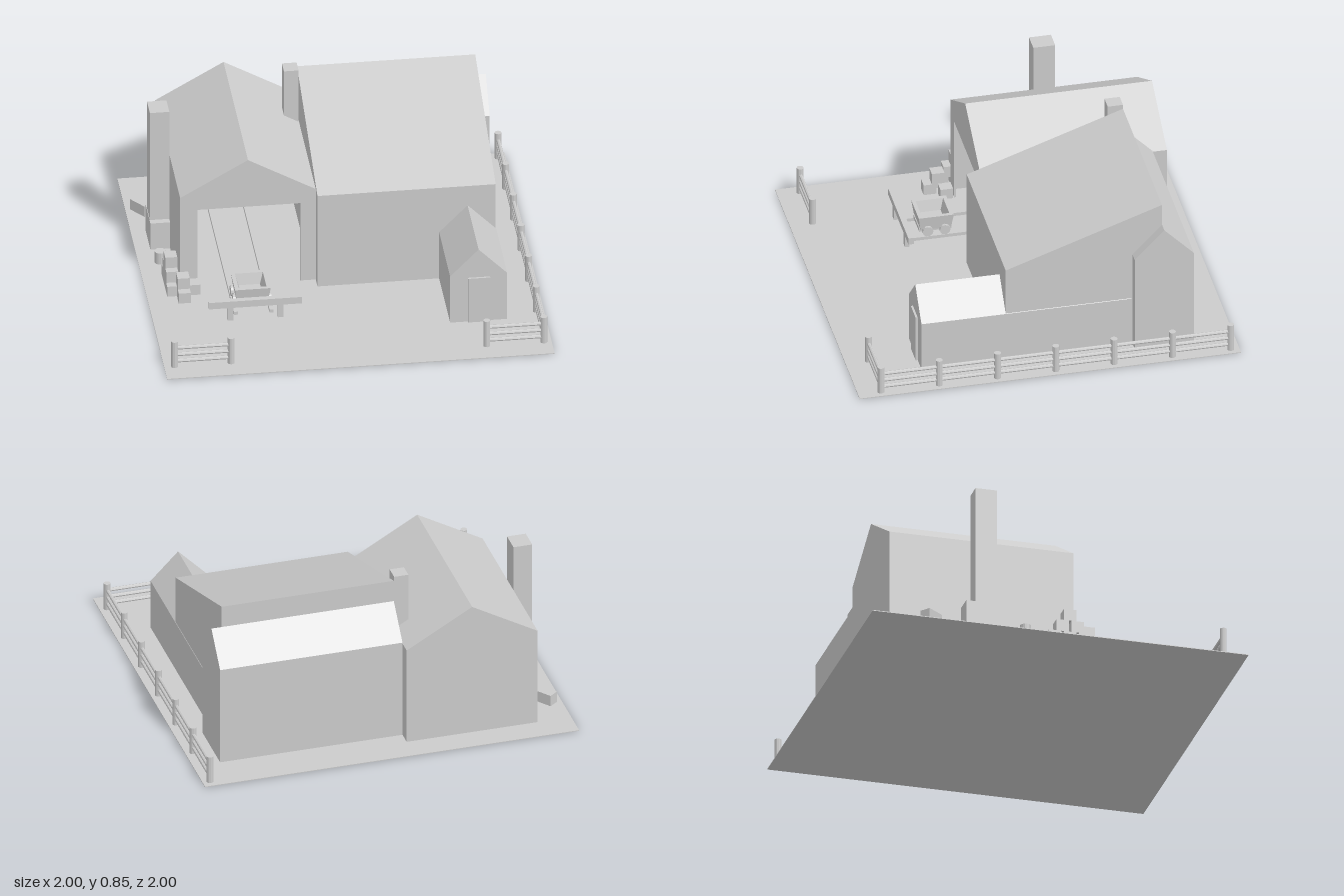
import * as THREE from 'three';

const grey = new THREE.MeshStandardMaterial({ color: 0xcccccc, flatShading: true, side: THREE.DoubleSide });

export function createModel() {
  const model = new THREE.Group();

  const add = (name, geometry, parent = model) => {
    const mesh = new THREE.Mesh(geometry, grey);
    mesh.name = name;
    parent.add(mesh);
    return mesh;
  };
  const group = (name) => {
    const g = new THREE.Group();
    g.name = name;
    model.add(g);
    return g;
  };
  // Box given by its limits on each axis
  const box = (name, x0, x1, y0, y1, z0, z1, parent) => {
    const g = new THREE.BoxGeometry(x1 - x0, y1 - y0, z1 - z0);
    g.translate((x0 + x1) / 2, (y0 + y1) / 2, (z0 + z1) / 2);
    return add(name, g, parent);
  };
  const outline = (points) => new THREE.Shape(points.map(([a, b]) => new THREE.Vector2(a, b)));
  // Outline in x, y pushed along z
  const alongZ = (name, shape, z0, z1, parent) => {
    const g = new THREE.ExtrudeGeometry(shape, { depth: z1 - z0, bevelEnabled: false });
    return add(name, g.translate(0, 0, z0), parent);
  };
  // Outline in z, y pushed along x
  const alongX = (name, points, x0, x1, parent) => {
    const shape = outline(points.map(([z, y]) => [-z, y]));
    const g = new THREE.ExtrudeGeometry(shape, { depth: x1 - x0, bevelEnabled: false });
    return add(name, g.rotateY(Math.PI / 2).translate(x0, 0, 0), parent);
  };
  const gable = (a, b, eave, ridge) => [[a, 0], [b, 0], [b, eave], [(a + b) / 2, ridge], [a, eave]];

  box('ground', -1, 1, 0, 0.004, -1, 1);

  // Hollow barn with a wide open doorway
  const barn = group('barn');
  const shell = outline(gable(-0.82, -0.12, 0.545, 0.745));
  shell.holes.push(outline(gable(-0.805, -0.135, 0.535, 0.73).map(([x, y]) => [x, Math.max(y, 0.004)])));
  alongZ('barnWallsAndRoof', shell, -0.86, 0.12, barn);
  alongZ('barnBackWall', outline(gable(-0.82, -0.12, 0.545, 0.745)), -0.86, -0.85, barn);
  alongZ('barnFrontWall', outline([
    [-0.82, 0], [-0.73, 0], [-0.73, 0.467], [-0.2, 0.467], [-0.2, 0],
    [-0.12, 0], [-0.12, 0.545], [-0.47, 0.745], [-0.82, 0.545],
  ]), 0.11, 0.12, barn);

  // Main hall with a single slope, rear wing and entrance wing
  alongX('mainHall', [[0.19, 0], [0.19, 0.545], [-0.63, 0.83], [-0.63, 0]], -0.12, 0.8);
  alongX('rearWing', gable(-0.785, -0.475, 0.55, 0.71), -0.12, 0.855);
  alongZ('entranceWing', outline(gable(0.508, 0.802, 0.28, 0.43)), -0.47, 0.632);
  box('entranceDoor', 0.6, 0.714, 0, 0.265, 0.63, 0.643);

  // Chimneys
  box('tallChimney', -0.92, -0.82, 0, 0.8, -0.43, -0.315);
  box('chimneyBase', -0.922, -0.82, 0, 0.16, -0.48, -0.28);
  box('smallChimney', -0.198, -0.122, 0.4, 0.853, -0.63, -0.55);

  // Fences: round posts joined by three rails
  const fence = (name, x0, z0, x1, z1, count) => {
    const f = group(name);
    const length = Math.hypot(x1 - x0, z1 - z0);
    for (let i = 0; i < count; i++) {
      const t = i / (count - 1);
      add('fencePost', new THREE.CylinderGeometry(0.018, 0.018, 0.155, 12), f)
        .position.set(x0 + (x1 - x0) * t, 0.0775, z0 + (z1 - z0) * t);
    }
    for (const y of [0.037, 0.075, 0.114]) {
      const rail = add('fenceRail', new THREE.CylinderGeometry(0.01, 0.01, length, 8).rotateX(Math.PI / 2), f);
      rail.position.set((x0 + x1) / 2, y, (z0 + z1) / 2);
      rail.rotation.y = Math.atan2(x1 - x0, z1 - z0);
    }
  };
  fence('sideFence', 0.96, -0.955, 0.96, 0.88, 7);
  fence('frontFenceLeft', 0.665, 0.88, 0.96, 0.88, 2);
  fence('frontFenceRight', -0.947, 0.88, -0.655, 0.88, 2);

  // Track running out of the barn
  const track = group('track');
  for (const x of [-0.57, -0.387]) box('trackRail', x - 0.01, x + 0.01, 0, 0.022, -0.8, 0.415, track);

  // Tub cart on the track
  const cart = group('cart');
  cart.position.set(-0.478, 0, 0.29);
  const r = Math.SQRT2;
  const tub = [[0, 0.05], [0.08, 0.05], [0.092, 0.13], [0.072, 0.13], [0.055, 0.07], [0, 0.07]]
    .map(([half, y]) => new THREE.Vector2(half * r, y));
  add('cartTub', new THREE.LatheGeometry(tub, 4, Math.PI / 4), cart);
  box('cartChassis', -0.07, 0.07, 0.035, 0.055, -0.085, 0.085, cart);
  for (const x of [-0.092, 0.092]) {
    for (const z of [-0.045, 0.045]) {
      add('cartWheel', new THREE.CylinderGeometry(0.028, 0.028, 0.014, 12).rotateZ(Math.PI / 2), cart)
        .position.set(x, 0.048, z);
    }
  }

  // Low barrier in front of the track
  const barrier = group('barrier');
  box('barrierPlank', -0.716, -0.236, 0.08, 0.118, 0.44, 0.47, barrier);
  for (const x of [-0.605, -0.345]) box('barrierPost', x - 0.015, x + 0.015, 0, 0.08, 0.443, 0.467, barrier);

  // Stacked crates beside the barn
  const crates = group('crates');
  const crate = (x, y, z) => box('crate', x - 0.031, x + 0.031, y, y + 0.063, z - 0.033, z + 0.033, crates);
  for (let level = 0; level < 3; level++) {
    for (let i = 0; i < 3 - level; i++) crate(-0.865, level * 0.063, (i + level / 2) * 0.08);
  }
  crate(-0.755, 0, 0.16);
  crate(-0.815, 0, 0.235);
  crate(-0.815, 0.063, 0.192);

  const looseCrate = add('looseCrate', new THREE.BoxGeometry(0.057, 0.065, 0.107));
  looseCrate.position.set(-0.92, 0.0325, -0.665);
  looseCrate.rotation.y = 0.65;

  add('barrel', new THREE.CylinderGeometry(0.029, 0.029, 0.07, 16)).position.set(-0.888, 0.035, -0.155);

  return model;
}
